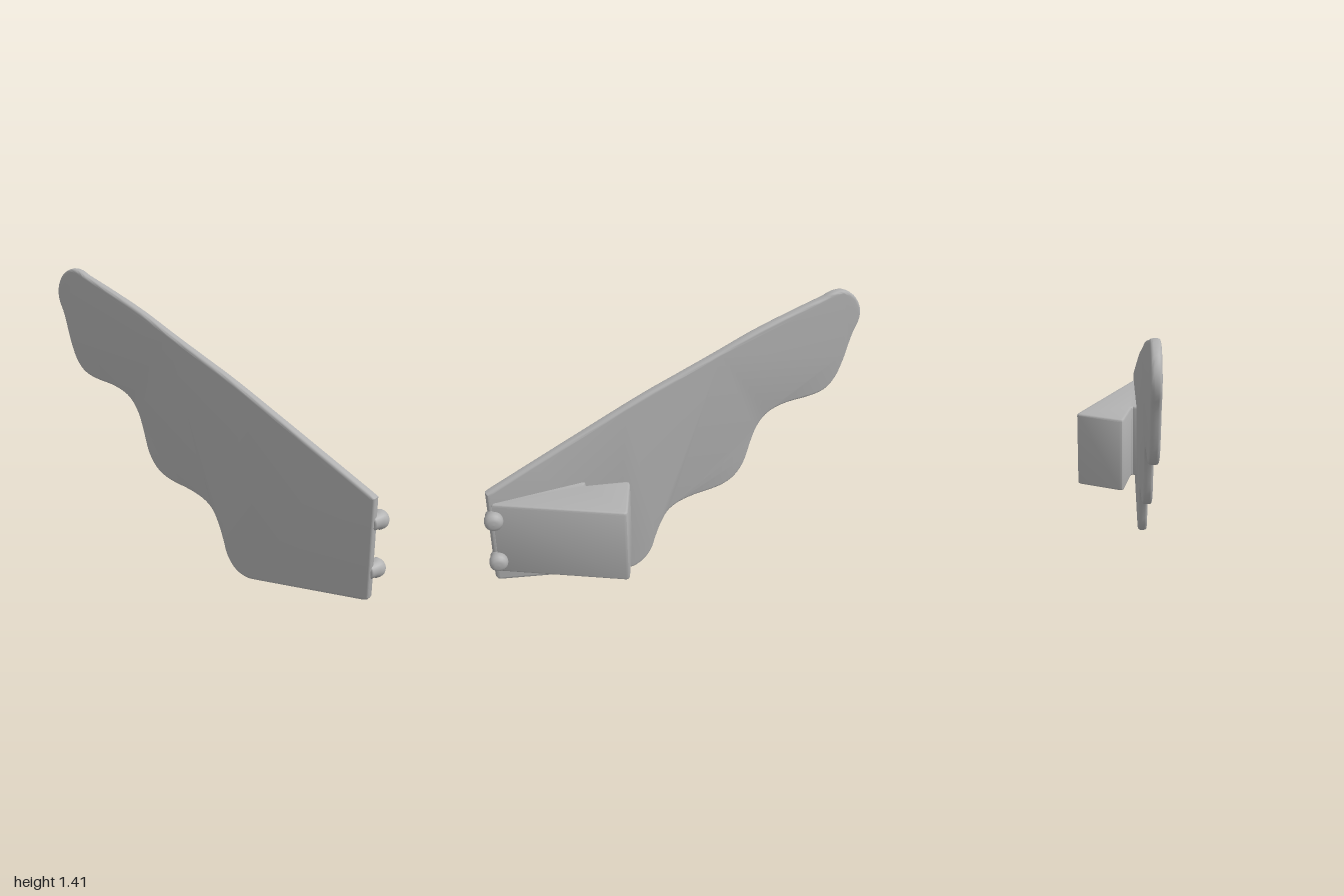
import * as THREE from 'three';
import { toCreasedNormals } from 'three/addons/utils/BufferGeometryUtils.js';

const grey = new THREE.MeshStandardMaterial({ color: 0xb0b0b0 });
grey.name = 'plain grey';

const vectors = (points) => points.map(([x, y]) => new THREE.Vector2(x, y));

// Slab with rounded edges; depth is the full thickness.
function roundedSlab(shape, depth, radius, curveSegments) {
  const geometry = new THREE.ExtrudeGeometry(shape, {
    depth: depth - 2 * radius, curveSegments,
    bevelThickness: radius, bevelSize: radius, bevelOffset: -radius, bevelSegments: 3,
  });
  geometry.translate(0, 0, radius);
  return toCreasedNormals(geometry, 0.6);
}

function addMesh(group, name, geometry) {
  const mesh = new THREE.Mesh(geometry, grey);
  mesh.name = name;
  group.add(mesh);
  return mesh;
}

export function createModel() {
  const model = new THREE.Group();
  model.name = 'wingWithBracket';

  // Wing plate: outline runs backwards along local x, then swings to its slant.
  const slant = Math.atan(0.235);
  const stretch = 1 / Math.cos(slant);
  const outline = (points) => vectors(points.map(([z, y]) => [-z * stretch, y]));
  const wing = new THREE.Shape();
  const [start, ...lower] = outline([
    [0.978, 0.69], [0.978, 0.175], [0.97, 0.162], [0.95, 0.155], [0.35, 0.015],
  ]);
  wing.moveTo(start.x, start.y);
  lower.forEach((p) => wing.lineTo(p.x, p.y));
  // scalloped trailing edge and rounded tip
  wing.splineThru(outline([
    [0.28, 0.004], [0.21, 0.027], [0.157, 0.09], [0.13, 0.17], [0.1, 0.25], [0.06, 0.32],
    [0, 0.36], [-0.09, 0.382], [-0.19, 0.392], [-0.26, 0.408], [-0.32, 0.445], [-0.37, 0.52],
    [-0.405, 0.64], [-0.44, 0.73], [-0.5, 0.796], [-0.6, 0.828], [-0.73, 0.836], [-0.82, 0.858],
    [-0.88, 0.92], [-0.92, 1.02], [-0.955, 1.15], [-0.988, 1.23], [-0.988, 1.3],
    [-0.95, 1.37], [-0.89, 1.41], [-0.83, 1.412], [-0.78, 1.393],
  ]));
  // gently waving leading edge
  wing.splineThru(outline([
    [-0.6, 1.34], [-0.4, 1.275], [-0.2, 1.195], [0, 1.118], [0.2, 1.04], [0.55, 0.885], [0.95, 0.705],
  ]));
  const plate = roundedSlab(wing, 0.047, 0.014, 3);
  plate.translate(0, 0, -0.0235);
  const wingPlate = addMesh(model, 'wingPlate', plate);
  wingPlate.rotation.y = Math.PI / 2 + slant;
  wingPlate.position.x = -0.093;

  // Wedge block on the outer face, drawn in plan and raised upwards.
  const plan = new THREE.Shape(vectors([
    [0.135, 0.955], [0.165, 0.955], [0.344, 0.335], [0.342, 0.322], [0.33, 0.314],
    [0.098, 0.272], [0.083, 0.274], [0.075, 0.288], [0.075, 0.485], [0.066, 0.495],
    [0.048, 0.49], [0.015, 0.49],
  ].map(([x, z]) => [x, -z])));
  const wedge = roundedSlab(plan, 0.415, 0.012, 1);
  wedge.rotateX(-Math.PI / 2);
  addMesh(model, 'wedgeBlock', wedge).position.y = 0.22;

  // Two rounded pegs at the front edge, lying along x.
  const profile = vectors([
    [0, 0], [0.032, 0], [0.04, 0.008], [0.041, 0.035], [0.046, 0.046],
    [0.047, 0.062], [0.044, 0.078], [0.035, 0.09], [0.02, 0.095], [0, 0.096],
  ]);
  const peg = new THREE.LatheGeometry(profile, 24);
  peg.rotateZ(-Math.PI / 2);
  for (const [name, y] of [['upperPeg', 0.555], ['lowerPeg', 0.302]]) {
    addMesh(model, name, peg).position.set(0.129, y, 0.953);
  }
  return model;
}
